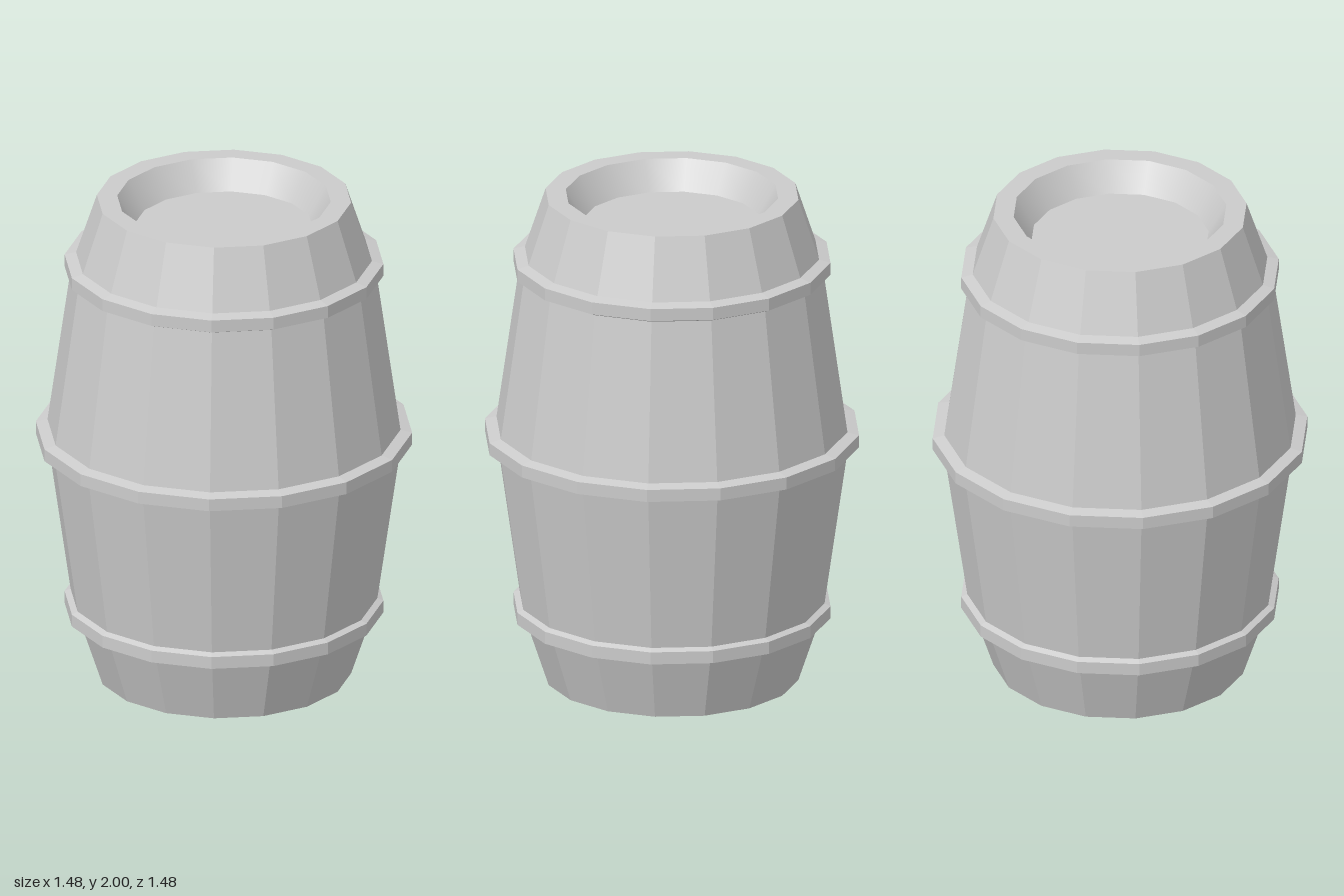
import * as THREE from 'three';

const SIDES = 16;
const flat = new THREE.MeshStandardMaterial({ color: 0xcccccc, flatShading: true });
const smooth = new THREE.MeshStandardMaterial({ color: 0xcccccc });

// Turn a [radius, height] profile; counter-clockwise profiles face outward
function turn(name, profile, material = flat) {
  const points = profile.map(([r, y]) => new THREE.Vector2(r, y));
  const mesh = new THREE.Mesh(new THREE.LatheGeometry(points, SIDES), material);
  mesh.name = name;
  return mesh;
}

export function createModel() {
  const barrel = new THREE.Group();
  barrel.name = 'barrel';

  // Bulging staves with the flat rims at both ends
  barrel.add(turn('staves', [
    [0.42, 0], [0.5, 0], [0.6, 0.3], [0.7, 1], [0.6, 1.7], [0.5, 2], [0.42, 2],
  ]));

  // Sunken heads: smooth tapered wall and flat disc
  const depth = 0.115;
  barrel.add(
    turn('topRecessWall', [[0.42, 2], [0.35, 2 - depth]], smooth),
    turn('topHead', [[0.35, 2 - depth], [0, 2 - depth]]),
    turn('bottomRecessWall', [[0.35, depth], [0.42, 0]], smooth),
    turn('bottomHead', [[0, depth], [0.35, depth]]),
  );

  // Hoops with slightly sloped upper and lower faces
  const hoops = [
    ['bottomHoop', 0.288, 0.58, 0.627, 0.6],
    ['middleHoop', 1.005, 0.69, 0.74, 0.69],
    ['topHoop', 1.718, 0.6, 0.627, 0.58],
  ];
  for (const [name, y, lower, outer, upper] of hoops) {
    barrel.add(turn(name, [
      [lower, y - 0.037], [outer, y - 0.025], [outer, y + 0.025], [upper, y + 0.037],
    ]));
  }

  return barrel;
}
